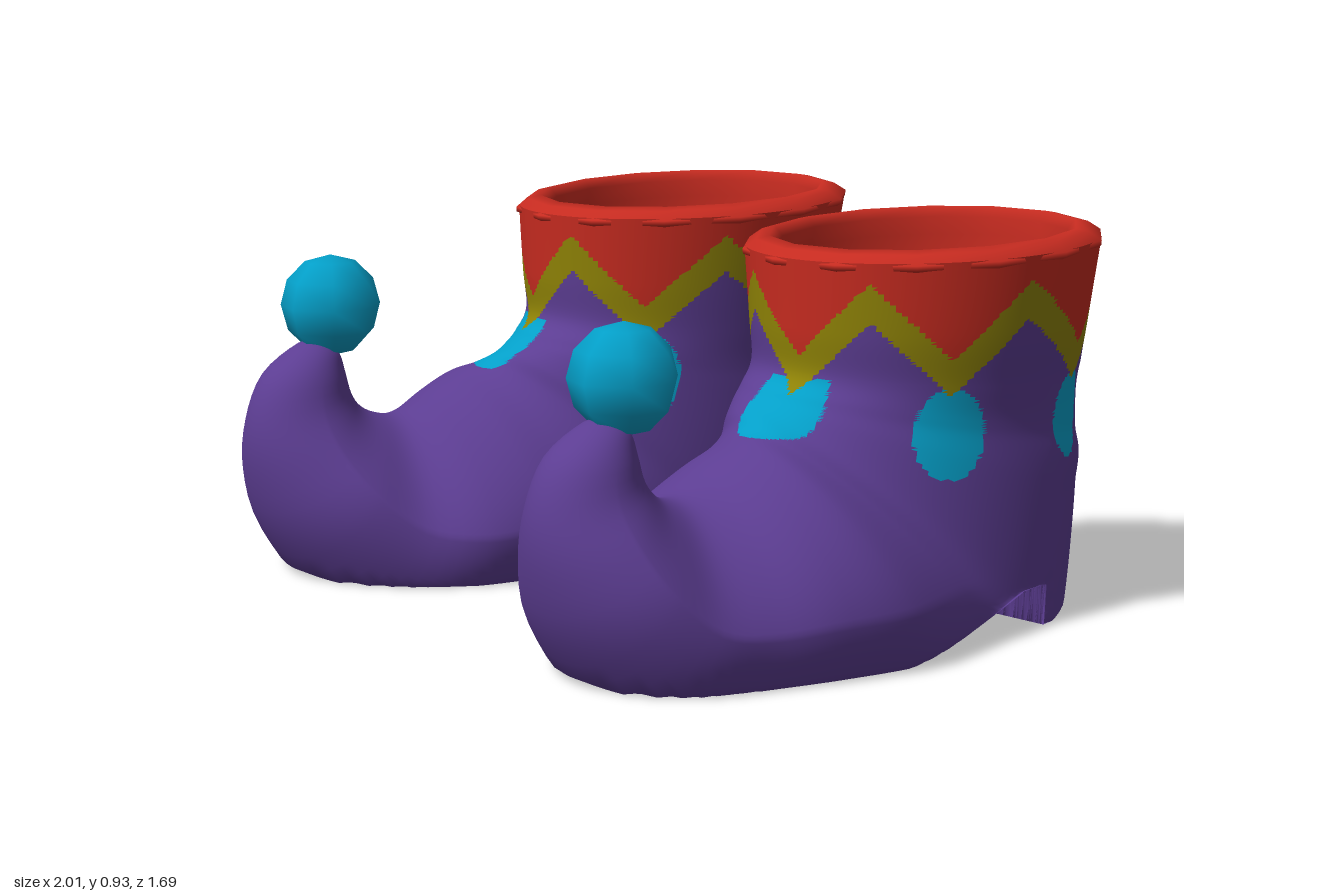
import * as THREE from 'three';

const mat = (name, color) => Object.assign(new THREE.MeshStandardMaterial({ color }), { name });

// Boot cross-sections from cuff to toe tip:
// back/sole point (z, y), front/instep point (z, y), centre x, half width, taper to the instep
const SECTIONS = [
  [-0.81, 0.905, 0.08, 0.885, 0.495, 0.395, 0],
  [-0.778, 0.70, 0.073, 0.72, 0.497, 0.372, 0],
  [-0.765, 0.55, 0.07, 0.62, 0.495, 0.353, 0],
  [-0.80, 0.42, 0.11, 0.57, 0.495, 0.342, 0],
  [-0.84, 0.26, 0.14, 0.545, 0.50, 0.345, 0],
  [-0.72, -0.20, 0.17, 0.525, 0.52, 0.355, 0],
  [-0.45, -0.20, 0.20, 0.50, 0.56, 0.375, 0.1],
  [-0.10, -0.20, 0.24, 0.48, 0.595, 0.405, 0.18],
  [0.20, -0.18, 0.30, 0.45, 0.595, 0.395, 0.22],
  [0.45, -0.16, 0.38, 0.41, 0.592, 0.365, 0.32],
  [0.64, -0.09, 0.45, 0.385, 0.62, 0.315, 0.42],
  [0.785, 0.09, 0.51, 0.395, 0.635, 0.262, 0.4],
  [0.84, 0.25, 0.55, 0.42, 0.645, 0.195, 0.3],
  [0.845, 0.39, 0.575, 0.455, 0.645, 0.135, 0.1],
  [0.80, 0.51, 0.59, 0.51, 0.645, 0.1, 0],
  [0.70, 0.585, 0.60, 0.55, 0.645, 0.06, 0],
  [0.655, 0.59, 0.62, 0.575, 0.645, 0.02, 0],
];
// Rows per section: fine where the painted pattern and the heel lie
const ROWS = [24, 18, 12, 12, 18, 18, 12, 9, 6, 5, 5, 4, 4, 4, 4, 3];

const { clamp, degToRad, radToDeg } = THREE.MathUtils;

function spline(a, b, c, d, t) {
  const m0 = (c - a) / 2, m1 = (d - b) / 2;
  return b + m0 * t + (3 * (c - b) - 2 * m0 - m1) * t * t + (2 * (b - c) + m0 + m1) * t * t * t;
}

function sectionAt(i, t) {
  const s = (k) => SECTIONS[clamp(k, 0, SECTIONS.length - 1)];
  return s(i).map((v, k) => spline(s(i - 1)[k], v, s(i + 1)[k], s(i + 2)[k], t));
}

function bootRing([oz, oy, iz, iy, cx, hw, taper], n = 180) {
  return Array.from({ length: n }, (_, j) => {
    const a = (j / n) * Math.PI * 2, c = Math.cos(a);
    let z = (oz + iz) / 2 + ((iz - oz) / 2) * c;
    let y = (oy + iy) / 2 + ((iy - oy) / 2) * c;
    let x = cx + hw * Math.sin(a) * (1 - taper * Math.max(0, c));
    // the back of the heel leans inward
    x -= 0.3 * Math.max(0, -0.5 - z) * clamp((0.6 - y) / 0.3, 0, 1);
    // flat sole that rises to the arch, then drops at the slanted front of the heel
    const heelFront = -0.37 - 0.145 * (x - 0.21);
    const gap = z - heelFront;
    const sole = gap < 0 ? 0 : clamp((0.05 - z) * 0.235, 0, 0.1);
    if (y < 0.1 && Math.abs(gap) < 0.025) z = heelFront + Math.sign(gap) * 0.001;
    return [x, Math.max(y, sole), z];
  });
}

// Skins closed rings; side -1 mirrors; classify picks a material slot for each face
function loft(rings, side, classify = () => 0) {
  const n = rings[0].length;
  const pts = rings.flatMap((r) => (side < 0 ? r.map(([x, y, z]) => [-x, y, z]).reverse() : r));
  const slots = [[], [], [], []];
  const add = (...f) => {
    const [x, y, z] = [0, 1, 2].map((k) => f.reduce((s, p) => s + pts[p][k], 0) / 3);
    slots[classify(x * side, y, z)].push(...f);
  };
  for (let i = 0; i < rings.length - 1; i++) {
    for (let j = 0; j < n; j++) {
      const a = i * n + j, b = i * n + ((j + 1) % n), c = a + n, d = b + n;
      add(a, c, b);
      add(b, c, d);
    }
  }
  const geo = new THREE.BufferGeometry();
  geo.setAttribute('position', new THREE.Float32BufferAttribute(pts.flat(), 3));
  geo.setIndex(slots.flat());
  let start = 0;
  slots.forEach((s, k) => {
    if (s.length) geo.addGroup(start, s.length, k);
    start += s.length;
  });
  geo.computeVertexNormals();
  return geo;
}

// Zigzag peaks in degrees around the shaft, from the outer side towards the front
const PEAKS = [0, 53, 107, 163, 229, 295, 360];

// Painted pattern: 0 purple, 1 red cuff, 2 zigzag, 3 drops below each zigzag point
function pattern(x, y, z) {
  if (z > 0.3 || y < 0.36) return 0;
  const turn = (radToDeg(Math.atan2((z + 0.37) / 0.43, (x - 0.5) / 0.37)) + 360) % 360;
  const k = PEAKS.findIndex((p) => p > turn) - 1;
  const middle = (PEAKS[k] + PEAKS[k + 1]) / 2;
  const dip = 1 - Math.abs(turn - middle) / (PEAKS[k + 1] - middle);
  if (z < 0.095) {
    if (y > 0.84 - 0.18 * dip) return 1;
    if (y > 0.748 - 0.175 * dip) return 2;
  }
  // the front drop lies along the instep
  if (k === 1) return y < 0.61 && Math.hypot((x - 0.573) / 0.097, (z - 0.11) / 0.112) < 1 ? 3 : 0;
  const across = degToRad(turn - middle) * 0.41;
  return Math.hypot(across / 0.09, (y - 0.488) / 0.105) < 1 ? 3 : 0;
}

// Cuff lining and rolled rim: x radius, z radius, height
const LINING = [
  [0, 0, 0.44], [0.295, 0.335, 0.44], [0.335, 0.378, 0.85], [0.326, 0.368, 0.895],
  [0.345, 0.388, 0.92], [0.375, 0.42, 0.913], [0.404, 0.453, 0.892],
  [0.403, 0.452, 0.88], [0.385, 0.43, 0.87],
];

function liningRing([rx, rz, y], n = 14) {
  return Array.from({ length: n }, (_, j) => {
    const a = (j / n) * Math.PI * 2, z = rz * Math.cos(a);
    return [0.495 + rx * Math.sin(a), y - 0.028 * z, -0.365 + z];
  });
}

export function createModel() {
  const purple = mat('purple', 0x5c3d92);
  const red = mat('red', 0xc62b20);
  const yellow = mat('olive yellow', 0x8e8206);
  const cyan = mat('cyan', 0x049fc8);

  const bodyRings = ROWS.flatMap((rows, i) =>
    Array.from({ length: rows }, (_, r) => bootRing(sectionAt(i, r / rows))));
  bodyRings.push(bootRing(SECTIONS[SECTIONS.length - 1]));

  const model = new THREE.Group();
  model.name = 'curledBoots';
  for (const side of [1, -1]) {
    const boot = new THREE.Group();
    boot.name = side > 0 ? 'leftBoot' : 'rightBoot';
    const part = (name, geo, material) => {
      const mesh = new THREE.Mesh(geo, material);
      mesh.name = name;
      boot.add(mesh);
      return mesh;
    };
    part('bootBody', loft(bodyRings, side, pattern), [purple, red, yellow, cyan]);
    part('cuffLining', loft(LINING.map((l) => liningRing(l)), side), red);

    const ball = part('toeBall', new THREE.SphereGeometry(0.128, 7, 6), cyan);
    ball.position.set(0.65 * side, 0.675, 0.61);
    model.add(boot);
  }
  return model;
}
